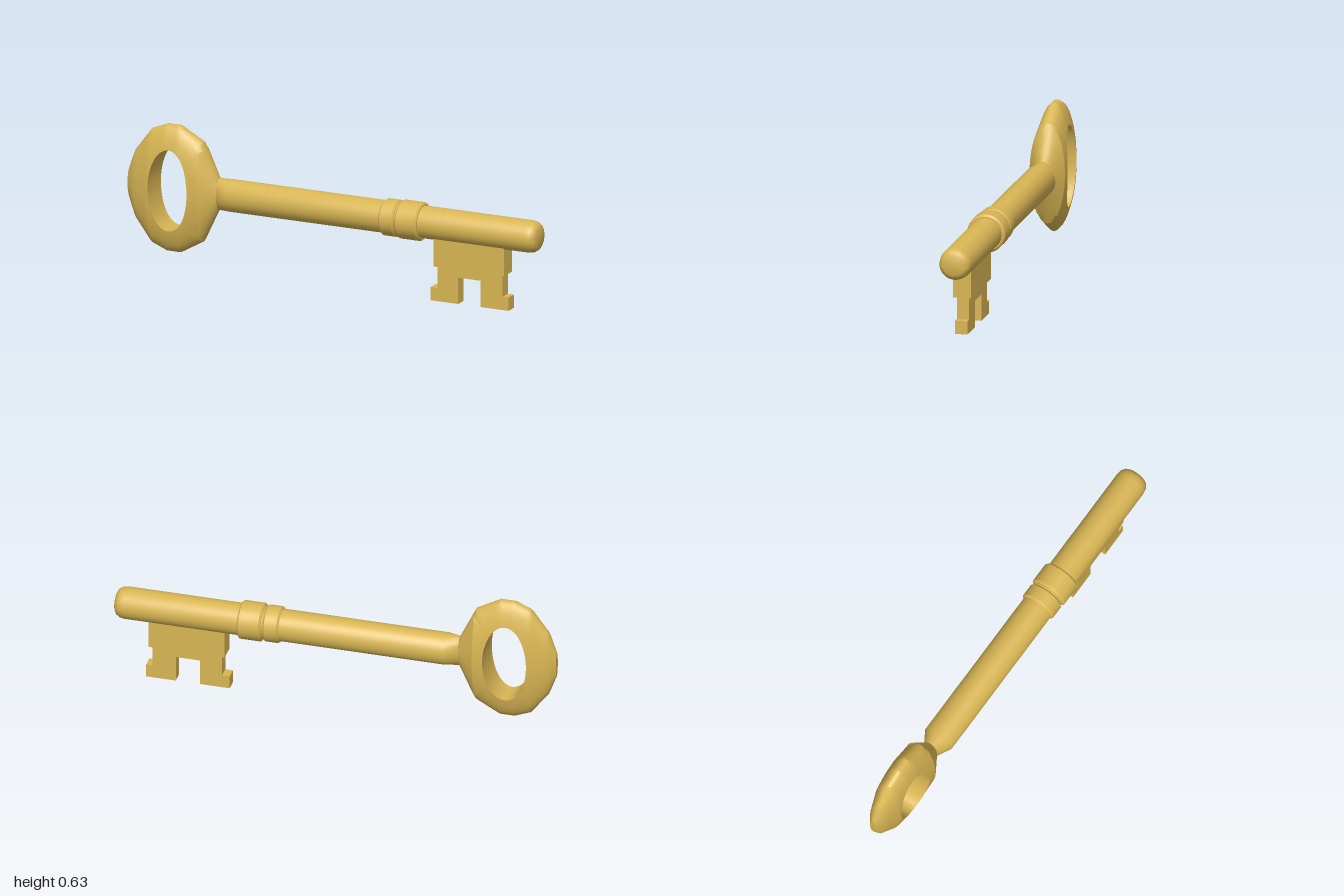
import * as THREE from 'three';
import { toCreasedNormals } from 'three/addons/utils/BufferGeometryUtils.js';

const AXIS_Y = 0.345;
const brass = new THREE.MeshStandardMaterial({ color: 0xd9b654 });

// Bow stations: x, half height, half thickness of each elliptical section
const STATIONS = [
  [-1, 0.06, 0.015], [-0.965, 0.155, 0.04], [-0.885, 0.26, 0.068], [-0.81, 0.29, 0.077],
  [-0.745, 0.29, 0.08], [-0.635, 0.227, 0.08], [-0.56, 0.072, 0.035],
];
const CREASE_X = -0.635;
const HOLE = { x: -0.78, rx: 0.098, ry: 0.185 };

function section(x) {
  let i = 0;
  while (i < STATIONS.length - 2 && x > STATIONS[i + 1][0]) i++;
  const a = STATIONS[i], b = STATIONS[i + 1];
  const t = THREE.MathUtils.clamp((x - a[0]) / (b[0] - a[0]), 0, 1);
  return { h: a[1] + (b[1] - a[1]) * t, w: a[2] + (b[2] - a[2]) * t };
}

function thickness(x, y) {
  const { h, w } = section(x);
  return Math.max(0.001, w * Math.sqrt(Math.max(0, 1 - (y / h) ** 2)));
}

// Lens-shaped bow, swept round the hole in radial strips
function bowGeometry() {
  const lower = STATIONS.map(([x, h]) => [x, -h]);
  const upper = STATIONS.map(([x, h]) => [x, h]).reverse();
  const outline = [...lower, ...upper];
  const SUB = 6, HALF = 6, ROWS = HALF * 2;
  const pos = [], index = [];
  let columns = 0;
  outline.forEach((a, k) => {
    const b = outline[(k + 1) % outline.length];
    for (let s = 0; s < SUB; s++, columns++) {
      const px = a[0] + (b[0] - a[0]) * s / SUB;
      const py = a[1] + (b[1] - a[1]) * s / SUB;
      const ang = Math.atan2(py / HOLE.ry, (px - HOLE.x) / HOLE.rx);
      const hx = HOLE.x + HOLE.rx * Math.cos(ang), hy = HOLE.ry * Math.sin(ang);
      // one row follows the crease where the bow narrows to the neck
      const split = px > CREASE_X + 1e-6 ? (CREASE_X - hx) / (px - hx) : 0.5;
      const front = [];
      for (let j = 0; j <= ROWS; j++) {
        const t = j <= HALF ? split * j / HALF
          : split + (1 - split) * Math.sin((j - HALF) / HALF * Math.PI / 2);
        const x = hx + (px - hx) * t, y = hy + (py - hy) * t;
        front.push([x, y, thickness(x, y)]);
      }
      const back = front.map(([x, y, z]) => [x, y, -z]).reverse();
      pos.push(...[...front, ...back].flat());
    }
  });
  const ring = (ROWS + 1) * 2;
  for (let i = 0; i < columns; i++) {
    for (let j = 0; j < ring; j++) {
      const i2 = (i + 1) % columns, j2 = (j + 1) % ring;
      const a = i * ring + j, b = i * ring + j2, c = i2 * ring + j2, d = i2 * ring + j;
      index.push(a, b, c, a, c, d);
    }
  }
  const g = new THREE.BufferGeometry();
  g.setAttribute('position', new THREE.Float32BufferAttribute(pos, 3));
  g.setIndex(index);
  return toCreasedNormals(g, 0.45);
}

// Turned part along x from [x, radius] pairs
function turned(profile) {
  const g = new THREE.LatheGeometry(profile.map(([x, r]) => new THREE.Vector2(r, x)), 40);
  return g.rotateZ(-Math.PI / 2);
}

function shaftGeometry() {
  const g = turned([
    [-0.56, 0], [-0.56, 0.072], [-0.5, 0.072], [0.955, 0.072],
    [0.978, 0.068], [0.993, 0.058], [1, 0.045], [1, 0],
  ]);
  // flatten the end that meets the bow
  const p = g.attributes.position;
  for (let i = 0; i < p.count; i++) if (p.getX(i) < -0.53) p.setZ(i, p.getZ(i) * 0.5);
  return toCreasedNormals(g, 0.6);
}

function collarGeometry(x0, x1, r) {
  const c = 0.008;
  return toCreasedNormals(turned([
    [x0, 0.06], [x0, r - c], [x0 + c, r], [x1 - c, r], [x1, r - c], [x1, 0.06],
  ]), 0.6);
}

// Stepped teeth with a notch cut up the middle
function teethGeometry() {
  const pts = [
    [0.48, 0], [0.615, 0], [0.615, 0.12], [0.725, 0.12], [0.725, 0], [0.86, 0],
    [0.86, 0.06], [0.83, 0.06], [0.83, 0.17], [0.515, 0.17], [0.515, 0.06], [0.48, 0.06],
  ];
  const shape = new THREE.Shape(pts.map(([x, y]) => new THREE.Vector2(x, y)));
  const g = new THREE.ExtrudeGeometry(shape, { depth: 0.055, bevelEnabled: false });
  return g.translate(0, 0, -0.0275);
}

export function createModel() {
  const key = new THREE.Group();
  key.name = 'key';
  const add = (name, geometry, x = 0, y = 0) => {
    const mesh = new THREE.Mesh(geometry, brass);
    mesh.name = name;
    mesh.position.set(x, y, 0);
    key.add(mesh);
  };
  add('bow', bowGeometry(), 0, AXIS_Y);
  add('shaft', shaftGeometry(), 0, AXIS_Y);
  add('narrowCollar', collarGeometry(0.248, 0.32, 0.082), 0, AXIS_Y);
  add('collarGroove', collarGeometry(0.315, 0.335, 0.076), 0, AXIS_Y);
  add('wideCollar', collarGeometry(0.328, 0.435, 0.086), 0, AXIS_Y);
  add('bitBlock', new THREE.BoxGeometry(0.345, 0.14, 0.08), 0.6725, 0.23);
  add('bitTeeth', teethGeometry());
  return key;
}
